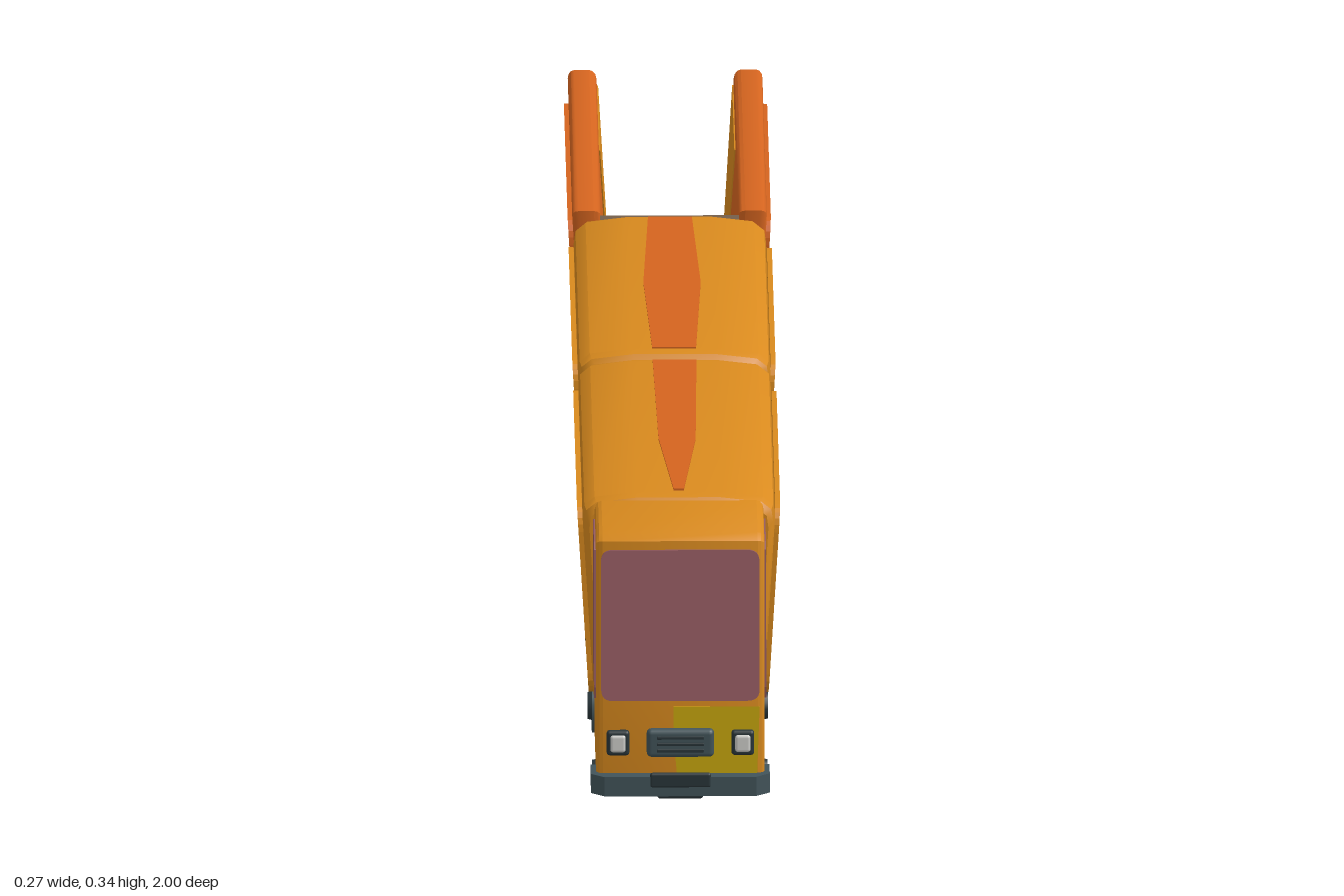
import * as THREE from 'three';
import { toCreasedNormals } from 'three/addons/utils/BufferGeometryUtils.js';
import { RoundedBoxGeometry } from 'three/addons/geometries/RoundedBoxGeometry.js';

const mat = (name, color) => new THREE.MeshStandardMaterial({ name, color });
const amber = mat('amber', 0xd98a1e), orange = mat('orange', 0xd4641f), yellow = mat('yellow', 0xcaa90e);
const tan = mat('tan', 0x9c8066), slate = mat('slate', 0x42545a), mauve = mat('mauveGlass', 0x965c62);
const silver = mat('silver', 0xd0d0cc), dark = mat('darkSlate', 0x2a363a);

function add(parent, name, geometry, material, x = 0, y = 0, z = 0) {
  const mesh = new THREE.Mesh(geometry, material);
  mesh.name = name;
  mesh.position.set(x, y, z);
  parent.add(mesh);
  return mesh;
}
const box = (p, name, m, w, h, d, x, y, z, r = 0.004) =>
  add(p, name, new RoundedBoxGeometry(w, h, d, 2, Math.min(r, w / 2.1, h / 2.1, d / 2.1)), m, x, y, z);

// Closed skin through rings of points (counter-clockwise seen from +z, z rising)
function loft(rings) {
  const pos = [], n = rings[0].length;
  const tri = (...pts) => pts.forEach((p) => pos.push(...p));
  for (let i = 0; i < rings.length - 1; i++) for (let j = 0; j < n; j++) {
    const k = (j + 1) % n, a = rings[i][j], b = rings[i][k], c = rings[i + 1][k], d = rings[i + 1][j];
    tri(a, b, c);
    tri(a, c, d);
  }
  const middle = (r) => [0, 1, 2].map((q) => r.reduce((s, p) => s + p[q], 0) / n);
  const first = rings[0], last = rings[rings.length - 1];
  for (let j = 0; j < n; j++) {
    const k = (j + 1) % n;
    tri(middle(first), first[k], first[j]);
    tri(middle(last), last[j], last[k]);
  }
  const g = new THREE.BufferGeometry();
  g.setAttribute('position', new THREE.Float32BufferAttribute(pos, 3));
  return toCreasedNormals(g, 0.6);
}

function roundRect(x0, x1, y0, y1, r, rRight = r, Kind = THREE.Shape) {
  const s = new Kind();
  s.moveTo(x0 + r, y0);
  s.lineTo(x1 - rRight, y0);
  s.quadraticCurveTo(x1, y0, x1, y0 + rRight);
  s.lineTo(x1, y1 - rRight);
  s.quadraticCurveTo(x1, y1, x1 - rRight, y1);
  s.lineTo(x0 + r, y1);
  s.quadraticCurveTo(x0, y1, x0, y1 - r);
  s.lineTo(x0, y0 + r);
  s.quadraticCurveTo(x0, y0, x0 + r, y0);
  return s;
}
const polygon = (pts) => new THREE.Shape(pts.map(([x, y]) => new THREE.Vector2(x, y)));
const plate = (shape, depth) => new THREE.ExtrudeGeometry(shape, { depth, bevelEnabled: false, curveSegments: 6 });

// Half width of a carriage at height y: the sides lean outwards
const sideX = (y) => 0.1 + (y - 0.07) * 0.06;
function lean(g) {
  g.rotateY(Math.PI / 2);
  const p = g.attributes.position;
  for (let i = 0; i < p.count; i++) p.setX(i, p.getX(i) + sideX(p.getY(i)));
  g.computeVertexNormals();
  return g;
}

// Frame and stripes on one side of a carriage
function sidePanel(parent, turned, open) {
  const g = new THREE.Group();
  g.name = turned ? 'rightPanel' : 'leftPanel';
  if (turned) g.rotation.y = Math.PI;
  const frame = roundRect(-0.235, 0.23, 0.075, 0.312, 0.03);
  frame.holes.push(roundRect(-0.225, 0.22, 0.085, 0.302, 0.025, 0.025, THREE.Path));
  add(g, 'panelFrame', lean(plate(frame, 0.006)), open ? orange : amber);
  if (!open) add(g, 'orangeStripe', lean(plate(roundRect(-0.12, 0.21, 0.09, 0.29, 0.045, 0.02), 0.002)), orange);
  const y0 = open ? 0.165 : 0.157;
  add(g, 'yellowStripe', lean(plate(roundRect(-0.222, 0.217, y0, y0 + 0.078, 0.006), 0.004)), yellow);
  parent.add(g);
}

function wheelSet(parent, z, r, outer) {
  const g = new THREE.Group();
  g.name = 'wheelSet';
  g.position.set(0, r, z);
  for (const s of [-1, 1]) {
    [[0.011, 0.018], [0.034, 0.018]].forEach(([inset, w]) => {
      const t = add(g, 'tyre', new THREE.CylinderGeometry(r, r, w, 20), slate, s * (outer - inset));
      t.rotation.z = Math.PI / 2;
    });
    const h = add(g, 'hub', new THREE.CylinderGeometry(r * 0.5, r * 0.55, 0.006, 14), dark, s * outer);
    h.rotation.z = -s * Math.PI / 2;
    box(g, 'axleHousing', slate, 0.02, 0.026, 0.05, s * 0.045, 0.008, 0);
  }
  const a = add(g, 'axle', new THREE.CylinderGeometry(0.009, 0.009, outer * 1.8, 10), slate);
  a.rotation.z = Math.PI / 2;
  parent.add(g);
}

function undercarriage(g) {
  box(g, 'chassis', slate, 0.12, 0.03, 0.5, 0, 0.058, 0);
  for (const s of [-1, 1]) {
    box(g, 'sideRail', slate, 0.02, 0.026, 0.2, s * 0.082, 0.059, 0);
    box(g, 'railEnd', slate, 0.02, 0.026, 0.08, s * 0.082, 0.05, 0.215);
  }
  wheelSet(g, 0.13, 0.032, 0.104);
  wheelSet(g, -0.165, 0.032, 0.104);
}

function closedCarriage(z, pointed) {
  const g = new THREE.Group();
  g.name = 'carriage';
  g.position.z = z;
  const half = [[sideX(0.08) - 0.006, 0.068], [sideX(0.08), 0.08], [sideX(0.305), 0.305], [0.112, 0.321], [0.1, 0.331], [0.05, 0.337]];
  const outline = [...half, ...half.slice().reverse().map(([x, y]) => [-x, y])];
  const ring = ([zz, k]) => outline.map(([x, y]) => [x * k, 0.2 + (y - 0.2) * k, zz]);
  add(g, 'body', loft([[-0.264, 0.93], [-0.258, 0.98], [-0.245, 1], [0.245, 1], [0.258, 0.98], [0.264, 0.93]].map(ring)), amber);
  sidePanel(g, false, false);
  sidePanel(g, true, false);
  // Roof stripe, tapering to the front on the first carriage
  const tip = pointed ? [[0.022, 0.05], [0.006, 0.24], [-0.006, 0.24], [-0.022, 0.05]] : [[0.034, 0], [0.026, 0.245], [-0.026, 0.245], [-0.034, 0]];
  const roof = plate(polygon([[-0.026, -0.245], [0.026, -0.245], ...tip].map(([x, q]) => [x, q])), 0.003);
  roof.rotateX(-Math.PI / 2);
  roof.scale(1, 1, -1);
  const index = roof.attributes.position; // restore winding after the flip
  for (let i = 0; i < index.count; i += 3) {
    const a = [index.getX(i), index.getY(i), index.getZ(i)];
    index.setXYZ(i, index.getX(i + 1), index.getY(i + 1), index.getZ(i + 1));
    index.setXYZ(i + 1, ...a);
  }
  roof.computeVertexNormals();
  add(g, 'roofStripe', roof, orange, 0, 0.336, 0);
  undercarriage(g);
  box(g, 'coupling', amber, 0.19, 0.23, 0.04, 0, 0.205, 0.262);
  return g;
}

function openCarriage(z) {
  const g = new THREE.Group();
  g.name = 'openCarriage';
  g.position.z = z;
  // Leaning side walls with rounded edges
  for (const s of [0, 1]) {
    const wall = new THREE.Group();
    wall.name = s ? 'rightWall' : 'leftWall';
    wall.rotation.y = s * Math.PI;
    const shape = s ? polygon([[-0.262, 0.075], [0.262, 0.075], [0.262, 0.335], [-0.268, 0.335], [-0.27, 0.2]])
      : polygon([[-0.262, 0.075], [0.25, 0.075], [0.266, 0.14], [0.268, 0.335], [-0.262, 0.335]]);
    const slab = new THREE.ExtrudeGeometry(shape, { depth: 0.018, bevelThickness: 0.008, bevelSize: 0.008, bevelOffset: -0.008, bevelSegments: 3 });
    slab.translate(0, 0, -0.026);
    add(wall, 'wallSlab', toCreasedNormals(lean(slab), 0.6), orange);
    const d = s ? -1 : 1;
    const lining = plate(polygon([[d * 0.01, 0.32], [d * 0.08, 0.09], [d * 0.245, 0.09], [d * 0.255, 0.32]]), 0.002);
    lining.translate(0, 0, -0.0355);
    add(wall, 'innerLining', lean(lining), amber);
    g.add(wall);
    sidePanel(g, s === 1, true);
  }
  box(g, 'floor', orange, 0.18, 0.022, 0.51, 0, 0.078, 0);
  box(g, 'frontWall', orange, 0.19, 0.24, 0.014, 0, 0.2, 0.256);
  // Chute and lowered ramp: [z, height, half width, edge lift]
  const ribbon = (pts) => loft(pts.map(([q, y, w, e]) => [[-w, y - 0.008 + e, q], [0, y - 0.008, q], [w, y - 0.008 + e, q],
    [w, y + e, q], [w / 2, y + e * 0.3, q], [0, y, q], [-w / 2, y + e * 0.3, q], [-w, y + e, q]]));
  add(g, 'chute', ribbon([[-0.26, 0.098, 0.08, 0], [-0.12, 0.1, 0.08, 0], [-0.04, 0.11, 0.08, 0], [0.04, 0.145, 0.08, 0],
    [0.12, 0.205, 0.08, 0], [0.2, 0.28, 0.08, 0], [0.258, 0.328, 0.084, 0]]), tan);
  add(g, 'ramp', ribbon([[-0.474, 0.02, 0.098, 0.012], [-0.46, 0.023, 0.105, 0.012], [-0.4, 0.037, 0.106, 0.012], [-0.34, 0.056, 0.104, 0.01],
    [-0.3, 0.075, 0.096, 0.008], [-0.275, 0.092, 0.084, 0.004], [-0.24, 0.1, 0.079, 0]]), tan);
  undercarriage(g);
  return g;
}

function cab() {
  const g = new THREE.Group();
  g.name = 'cab';
  // Side profile, x is minus z
  const profile = polygon([[-0.825, 0.035], [-0.825, 0.335], [-0.945, 0.335], [-0.957, 0.328], [-0.983, 0.13], [-0.982, 0.035]]);
  const body = new THREE.ExtrudeGeometry(profile, { depth: 0.184, bevelThickness: 0.008, bevelSize: 0.008, bevelOffset: -0.008, bevelSegments: 3 });
  body.translate(0, 0, -0.092);
  body.rotateY(Math.PI / 2);
  add(g, 'cabBody', toCreasedNormals(body, 0.6), amber);
  const glass = add(g, 'windscreen', plate(roundRect(-0.094, 0.094, -0.092, 0.09, 0.014), 0.004), mauve, 0, 0.2285, 0.9695);
  glass.rotation.x = -0.131;
  for (const s of [-1, 1]) {
    const side = plate(polygon([[-0.843, 0.142], [-0.968, 0.136], [-0.971, 0.15], [-0.95, 0.315], [-0.94, 0.322], [-0.855, 0.322], [-0.845, 0.31]]), 0.004);
    side.rotateY(Math.PI / 2);
    add(g, 'sideWindow', side, mauve, s * 0.1 - 0.002);
    box(g, 'lampFrame', dark, 0.027, 0.031, 0.01, s * 0.074, 0.086, 0.985);
    box(g, 'headlamp', silver, 0.019, 0.022, 0.01, s * 0.074, 0.086, 0.9875);
  }
  add(g, 'yellowFront', plate(polygon([[-0.004, 0.045], [0.091, 0.045], [0.094, 0.13], [-0.008, 0.13], [-0.008, 0.09]]), 0.003), yellow, 0, 0, 0.981);
  // Grille with slats
  box(g, 'grille', slate, 0.08, 0.035, 0.014, 0, 0.086, 0.985, 0.006);
  for (let i = -1; i <= 1; i++) box(g, 'grilleSlat', dark, 0.056, 0.004, 0.004, 0, 0.086 + i * 0.008, 0.992, 0.001);
  // Bumper with swept-back ends
  const bumper = plate(polygon([[-0.106, -0.95], [-0.106, -0.985], [-0.09, -0.998], [0.09, -0.998], [0.106, -0.985], [0.106, -0.95]]), 0.024);
  bumper.rotateX(-Math.PI / 2);
  add(g, 'bumper', bumper, slate, 0, 0.023, 0);
  box(g, 'frontPlate', dark, 0.072, 0.018, 0.006, 0, 0.043, 0.997);
  box(g, 'cabChassis', slate, 0.11, 0.03, 0.16, 0, 0.036, 0.89);
  box(g, 'towBlock', dark, 0.055, 0.014, 0.03, 0, 0.02, 0.965);
  wheelSet(g, 0.91, 0.026, 0.101);
  return g;
}

export function createModel() {
  const model = new THREE.Group();
  model.name = 'articulatedTruck';
  const train = new THREE.Group();
  train.name = 'train';
  train.rotation.y = -0.017;
  train.position.x = 0.002;
  train.add(cab(), closedCarriage(0.553, true), closedCarriage(0.015, false), openCarriage(-0.525));
  box(train, 'spine', dark, 0.07, 0.028, 1.5, 0, 0.052, 0.06);
  model.add(train);
  return model;
}
